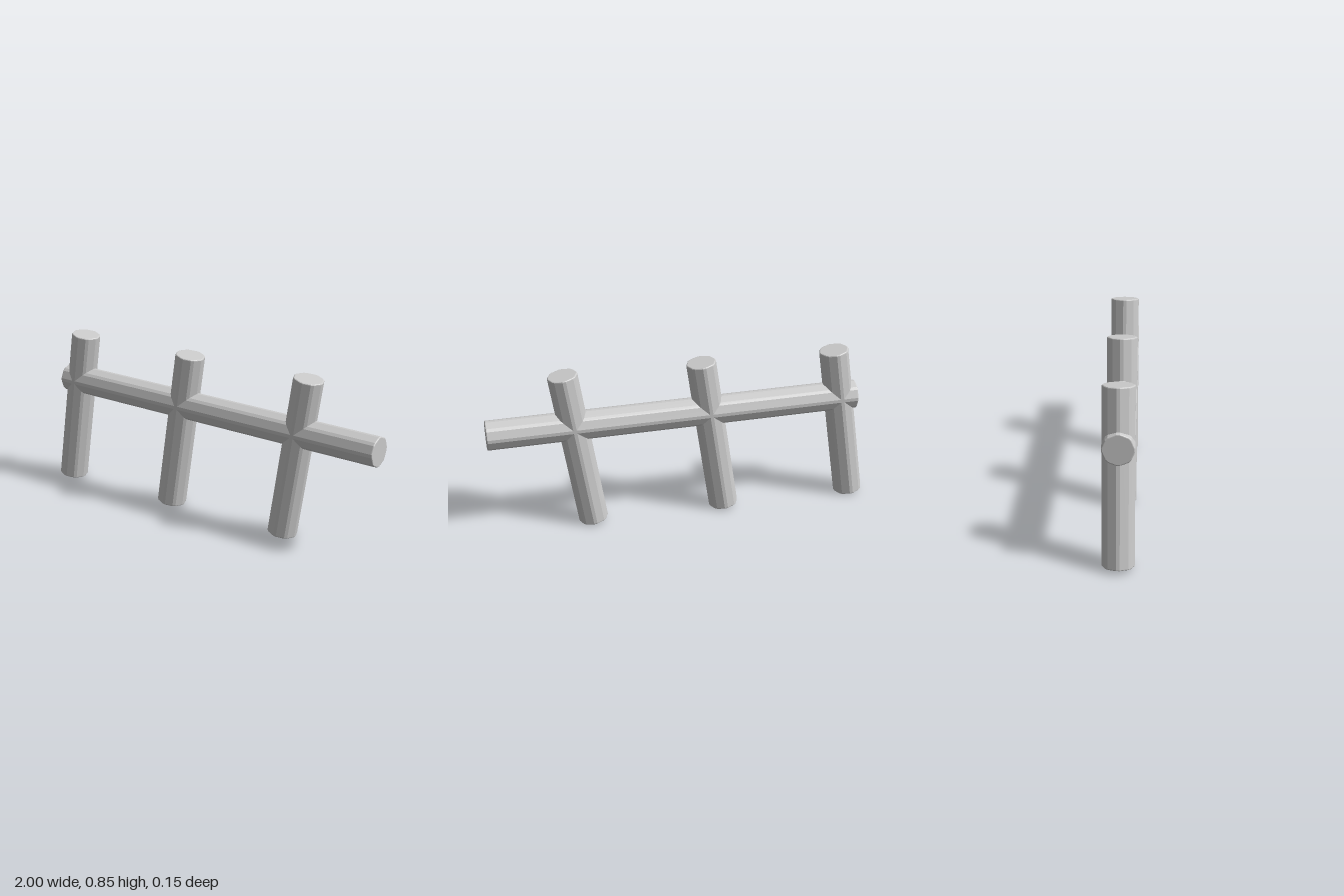
import * as THREE from 'three';

const RADIUS = 0.079;
const CHAMFER = 0.15; // share of each side cut away at a corner
const BEVEL = 0.006;

// Octagon with its corners cut, one corner on each axis
function poleSection() {
  const corner = (i) => new THREE.Vector2(
    RADIUS * Math.cos(i * Math.PI / 4), RADIUS * Math.sin(i * Math.PI / 4));
  const points = [];
  for (let i = 0; i < 8; i++) {
    points.push(corner(i).lerp(corner(i - 1), CHAMFER), corner(i).lerp(corner(i + 1), CHAMFER));
  }
  return new THREE.Shape(points);
}

// Eight-sided pole with softened edges and ends, running between two points
function pole(name, from, to, material) {
  const a = new THREE.Vector3(...from);
  const dir = new THREE.Vector3(...to).sub(a);
  const geometry = new THREE.ExtrudeGeometry(poleSection(), {
    depth: dir.length() - 2 * BEVEL,
    bevelThickness: BEVEL,
    bevelSize: BEVEL,
    bevelOffset: -BEVEL,
    bevelSegments: 3,
  });
  geometry.translate(0, 0, BEVEL).rotateX(-Math.PI / 2);
  const mesh = new THREE.Mesh(geometry, material);
  mesh.name = name;
  mesh.position.copy(a);
  mesh.quaternion.setFromUnitVectors(new THREE.Vector3(0, 1, 0), dir.normalize());
  return mesh;
}

export function createModel() {
  const group = new THREE.Group();
  group.name = 'fence';
  const grey = new THREE.MeshStandardMaterial({ color: 0xcccccc });
  grey.name = 'light grey';

  // Long rail, dipping slightly towards +x
  group.add(pole('rail', [-0.924, 0.582, 0], [0.997, 0.555, 0], grey));

  // Three leaning posts
  [-0.924, -0.224, 0.476].forEach((x, i) => {
    group.add(pole(`post${i + 1}`, [x, 0.012, 0], [x + 0.128, 0.843, 0], grey));
  });
  return group;
}
